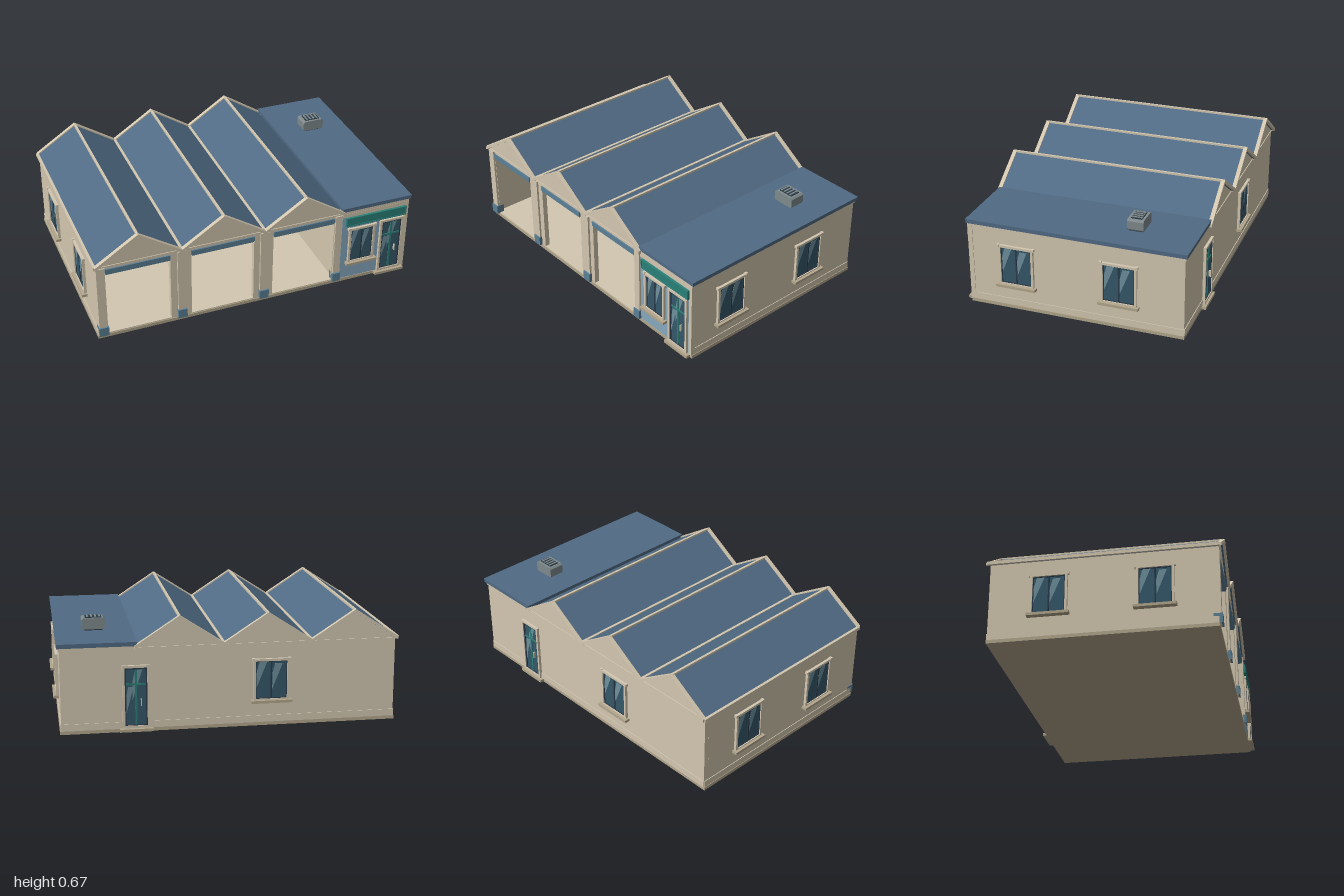
import * as THREE from 'three';

const material = (color) => new THREE.MeshStandardMaterial({ color, side: THREE.DoubleSide });
const wallMat = material(0xd3c7b0), trimMat = material(0xb3a78c), roofMat = material(0x506b84);
const blueMat = material(0x5b8096), shopMat = material(0x86a9be), tealMat = material(0x2a8078);
const glassMat = material(0x35586a), shineMat = material(0x6f909d), darkMat = material(0x2b3a48);
const greyMat = material(0x7f8a8c);

// Box given by its limits on each axis
function box(parent, name, mat, x0, x1, y0, y1, z0, z1) {
  const mesh = new THREE.Mesh(new THREE.BoxGeometry(x1 - x0, y1 - y0, z1 - z0), mat);
  mesh.position.set((x0 + x1) / 2, (y0 + y1) / 2, (z0 + z1) / 2);
  mesh.name = name;
  parent.add(mesh);
  return mesh;
}

function polygon(points) {
  return new THREE.Shape(points.map(([x, y]) => new THREE.Vector2(x, y)));
}

function rectHole(x0, x1, y0, y1) {
  return new THREE.Path([[x0, y0], [x0, y1], [x1, y1], [x1, y0]].map(([x, y]) => new THREE.Vector2(x, y)));
}

// Outline in x and y, extruded from z0 to z1
function slab(parent, name, mat, shape, z0, z1) {
  const geo = new THREE.ExtrudeGeometry(shape, { depth: z1 - z0, bevelEnabled: false });
  geo.translate(0, 0, z0);
  const mesh = new THREE.Mesh(geo, mat);
  mesh.name = name;
  parent.add(mesh);
  return mesh;
}

function frame(parent, name, mat, w, h, t, z0, z1) {
  const shape = polygon([[-w / 2, 0], [w / 2, 0], [w / 2, h], [-w / 2, h]]);
  shape.holes.push(rectHole(-w / 2 + t, w / 2 - t, t, h - t));
  return slab(parent, name, mat, shape, z0, z1);
}

// Diagonal light streak on a pane
function shine(parent, x0, x1, y0, y1, z) {
  const w = x1 - x0, h = y1 - y0;
  slab(parent, 'paneHighlight', shineMat, polygon([
    [x0, y0 + h * 0.25], [x0 + w * 0.75, y1], [x0 + w * 0.2, y1], [x0, y0 + h * 0.7]]), z, z + 0.001);
}

// Window facing +z, wall face at z = 0, sill at y = 0
function makeWindow(w = 0.21, h = 0.25) {
  const g = new THREE.Group();
  g.name = 'window';
  box(g, 'windowBacking', darkMat, -w / 2 + 0.012, w / 2 - 0.012, 0.012, h - 0.012, -0.034, 0.002);
  frame(g, 'windowFrame', wallMat, w, h, 0.014, -0.002, 0.016);
  for (const s of [-1, 1]) box(g, 'windowHeadBlock', wallMat, s * w / 2 - 0.008, s * w / 2 + 0.008, h - 0.012, h + 0.004, 0, 0.018);
  box(g, 'windowGlass', glassMat, -w / 2 + 0.018, w / 2 - 0.018, 0.018, h - 0.018, 0, 0.005);
  frame(g, 'windowSash', darkMat, w - 0.026, h - 0.026, 0.006, 0, 0.009).position.y = 0.013;
  box(g, 'windowMullion', darkMat, -0.004, 0.004, 0.014, h - 0.014, 0, 0.009);
  shine(g, -w / 2 + 0.02, -0.006, 0.03, h - 0.02, 0.006);
  shine(g, 0.006, w / 2 - 0.02, 0.02, h - 0.03, 0.006);
  box(g, 'windowSill', trimMat, -w / 2 - 0.014, w / 2 + 0.014, -0.008, 0.008, -0.002, 0.033);
  return g;
}

// Glazed door facing +z, wall face at z = 0
function makeDoor() {
  const g = new THREE.Group();
  g.name = 'door';
  box(g, 'doorBacking', darkMat, -0.068, 0.068, 0.002, 0.352, -0.034, 0.002);
  frame(g, 'doorFrame', wallMat, 0.155, 0.365, 0.014, -0.002, 0.016);
  frame(g, 'doorLeaf', darkMat, 0.128, 0.34, 0.008, 0, 0.011).position.y = 0.01;
  box(g, 'doorGlass', glassMat, -0.06, 0.06, 0.015, 0.345, 0, 0.005);
  shine(g, -0.056, 0.0, 0.03, 0.24, 0.006);
  shine(g, -0.02, 0.056, 0.1, 0.34, 0.006);
  box(g, 'doorTransom', tealMat, -0.06, 0.06, 0.25, 0.26, 0, 0.01);
  box(g, 'doorStile', tealMat, -0.006, 0.006, 0.015, 0.345, 0, 0.009);
  box(g, 'doorHandle', wallMat, 0.026, 0.032, 0.13, 0.17, 0, 0.018);
  box(g, 'doorStep', trimMat, -0.095, 0.095, -0.02, -0.003, -0.005, 0.028);
  return g;
}

function place(parent, object, name, x, y, z, turn) {
  object.name = name;
  object.position.set(x, y, z);
  object.rotation.y = turn;
  parent.add(object);
}

export function createModel() {
  const model = new THREE.Group();
  model.name = 'marketHall';
  const X = 0.963, Z = 0.635, T = 0.03, eave = 0.49, half = 0.2525, ridgeY = 0.655;
  const ridges = [-0.718, -0.213, 0.292];
  const bays = [[-0.91, -0.53], [-0.405, -0.022], [0.098, 0.485]];

  // Base, floor and plinth band
  box(model, 'base', trimMat, -0.97, 0.97, 0, 0.02, -Z - 0.002, Z + 0.004);
  box(model, 'floor', wallMat, -0.95, 0.95, 0.018, 0.026, -0.62, 0.62);
  for (const s of [-1, 1]) box(model, 'sidePlinth', wallMat, s * X - 0.004, s * X + 0.004, 0.02, 0.06, -Z, Z);
  box(model, 'backPlinth', wallMat, -X, X, 0.02, 0.06, -Z - 0.004, -Z + 0.004);

  // Gabled front and back walls
  const outline = [[-X, 0.02], [X, 0.02], [X, 0.505], [0.53, 0.505]];
  for (const r of [...ridges].reverse()) outline.push([r + half - 0.008, eave], [r, ridgeY - 0.005], [r - half + 0.008, eave]);
  const frontShape = polygon(outline);
  for (const [a, b] of bays) frontShape.holes.push(rectHole(a, b, 0.026, 0.47));
  slab(model, 'frontWall', wallMat, frontShape, Z - T, Z);
  slab(model, 'backWall', wallMat, polygon(outline), -Z, -Z + T);
  for (const s of [-1, 1]) box(model, 'eaveBand', wallMat, -X, 0.53, 0.483, 0.492, s * Z - 0.005, s * Z + 0.005);

  // Side walls and shop partition
  box(model, 'rightWall', wallMat, -X, -X + T, 0.02, eave, -Z + T, Z - T);
  box(model, 'leftWall', wallMat, X - T, X, 0.02, 0.505, -Z + T, Z - T);
  box(model, 'partition', wallMat, 0.5, 0.53, 0.02, 0.505, -Z + T, Z - T);

  // Sawtooth roof: sloped panels, verge boards, ridge and valley strips
  const chevron = (cx, top, thick, w) => polygon([
    [cx - w, top - 0.165], [cx - w, top - 0.165 - thick], [cx, top - thick],
    [cx + w, top - 0.165 - thick], [cx + w, top - 0.165], [cx, top]]);
  for (const r of ridges) {
    slab(model, 'roofPanels', roofMat, chevron(r, 0.661, 0.012, half), -0.645, 0.645);
    for (const s of [-1, 1]) {
      const z = s * 0.648;
      slab(model, 'vergeBoard', wallMat, chevron(r, 0.67, 0.02, half), z - 0.012, z + 0.012);
    }
    box(model, 'ridgeCap', wallMat, r - 0.007, r + 0.007, 0.648, 0.668, -0.645, 0.645);
    box(model, 'valleyGutter', wallMat, r - half - 0.008, r - half + 0.008, 0.485, 0.505, -0.65, 0.65);
  }

  // Flat roof over the shop
  box(model, 'cornice', wallMat, 0.535, 0.968, 0.485, 0.502, -0.642, 0.642);
  box(model, 'flatRoof', roofMat, 0.532, 0.978, 0.502, 0.519, -0.65, 0.645);
  box(model, 'flatRoofTop', roofMat, 0.53, 0.98, 0.519, 0.527, -0.652, 0.648);

  // Roof vent
  const vent = new THREE.Group();
  vent.name = 'roofVent';
  const ventShape = polygon([[0.69, 0.535], [0.815, 0.535], [0.82, 0.543], [0.82, 0.59],
    [0.81, 0.6], [0.695, 0.6], [0.685, 0.59], [0.685, 0.543]]);
  slab(vent, 'ventCasing', greyMat, ventShape, -0.35, -0.255);
  box(vent, 'ventBase', darkMat, 0.7, 0.805, 0.525, 0.537, -0.34, -0.265);
  box(vent, 'ventGrille', darkMat, 0.705, 0.8, 0.598, 0.604, -0.335, -0.27);
  for (let i = 0; i < 4; i++) box(vent, 'ventSlat', greyMat, 0.712 + i * 0.023, 0.722 + i * 0.023, 0.6, 0.607, -0.333, -0.272);
  model.add(vent);

  // Pilasters with coloured feet
  for (const [a, b] of [[-X, -0.913], [-0.49, -0.443], [0.015, 0.065], [0.488, 0.53]]) {
    box(model, 'pilaster', wallMat, a, b, 0.02, 0.483, Z - T, Z + 0.012);
    box(model, 'pilasterFoot', blueMat, a - 0.003, b + 0.004, 0.022, 0.078, Z - T, Z + 0.02);
  }

  // Shutter housings in the bays, and the stall counters inside
  for (const [a, b] of bays) {
    box(model, 'shutterHousing', blueMat, a, b, 0.442, 0.47, Z - 0.04, Z + 0.008);
    box(model, 'shutterLip', blueMat, a + 0.004, b - 0.004, 0.433, 0.443, Z - 0.03, Z + 0.004);
    const stall = new THREE.Group();
    stall.name = 'stallCounter';
    box(stall, 'counterBody', blueMat, a + 0.015, b - 0.015, 0.025, 0.13, -0.24, -0.08);
    box(stall, 'counterTop', wallMat, a, b, 0.13, 0.145, -0.255, -0.065);
    box(stall, 'counterTray', darkMat, a + 0.008, b - 0.008, 0.145, 0.153, -0.245, -0.075);
    model.add(stall);
  }

  // Shop front
  box(model, 'shopFront', shopMat, 0.535, 0.95, 0.024, 0.465, Z - 0.01, Z + 0.005);
  box(model, 'cornerPilaster', wallMat, 0.945, X + 0.004, 0.02, 0.485, Z - 0.02, Z + 0.008);
  box(model, 'fasciaBand', wallMat, 0.535, X, 0.46, 0.485, Z - 0.01, Z + 0.008);
  box(model, 'signBoard', tealMat, 0.56, 0.945, 0.403, 0.457, Z, Z + 0.018);
  const signFrame = frame(model, 'signFrame', tealMat, 0.39, 0.058, 0.006, Z, Z + 0.022);
  signFrame.position.set(0.7525, 0.401, 0);
  place(model, makeWindow(0.17, 0.245), 'shopWindow', 0.664, 0.135, Z + 0.004, 0);
  place(model, makeDoor(), 'shopDoor', 0.86, 0.025, Z + 0.004, 0);

  // Side and back openings
  for (const z of [0.35, -0.26]) place(model, makeWindow(), 'leftWindow', X, 0.147, z, Math.PI / 2);
  for (const z of [0.295, -0.295]) place(model, makeWindow(), 'rightWindow', -X, 0.147, z, -Math.PI / 2);
  place(model, makeWindow(), 'backWindow', -0.235, 0.147, -Z, Math.PI);
  place(model, makeDoor(), 'backDoor', 0.54, 0.025, -Z, Math.PI);

  return model;
}
